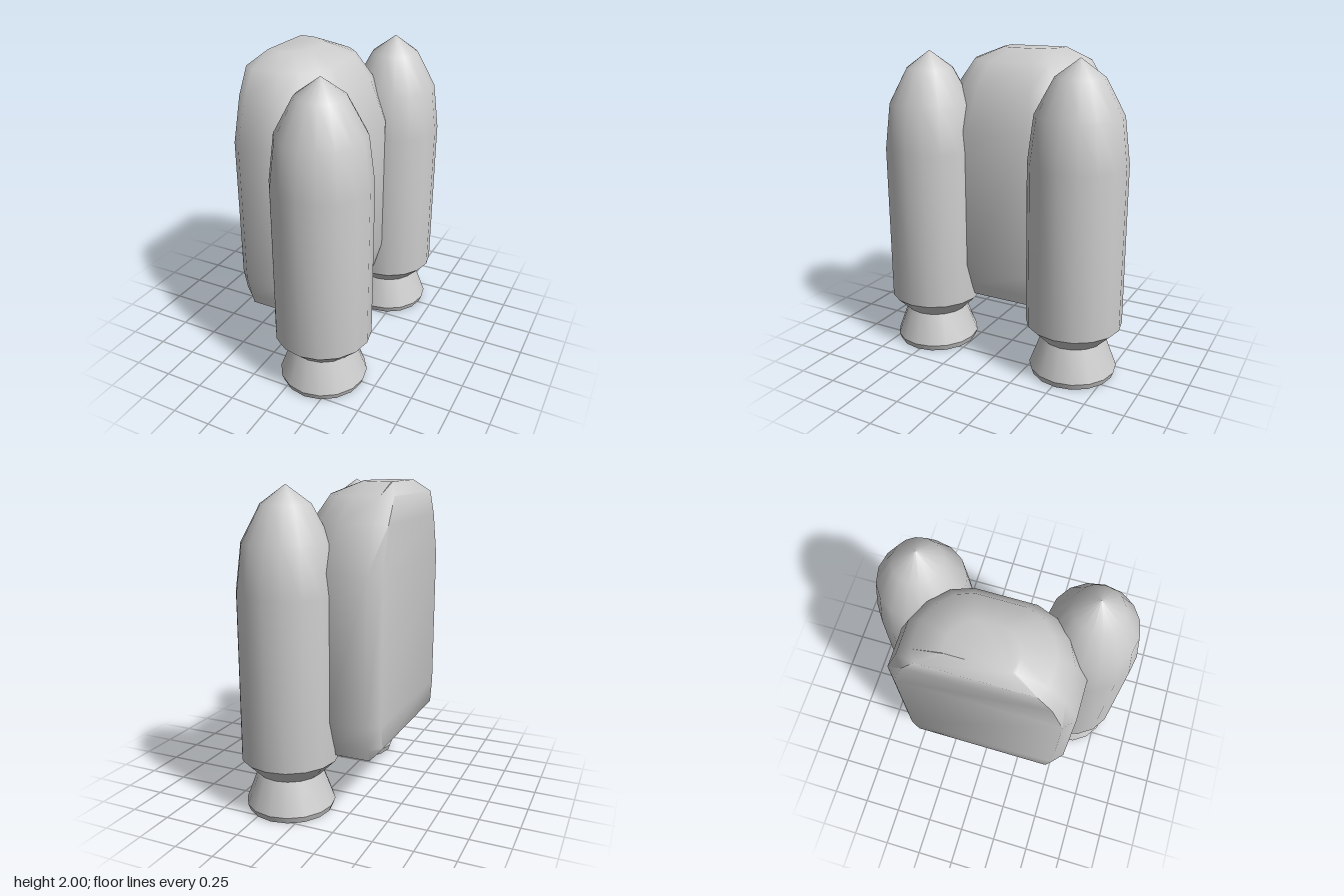
import * as THREE from 'three';
import { toCreasedNormals } from 'three/addons/utils/BufferGeometryUtils.js';

const material = new THREE.MeshStandardMaterial({ color: 0xcccccc });

// Pack body: plan sections stacked upwards, narrowing into a rounded top
function bodyGeometry() {
  const half = [[-0.45, 0.505], [-0.38, 0.57], [-0.13, 0.57], [0.04, 0.49], [0.16, 0.37], [0.215, 0.22]];
  const plan = [...half, ...half.map(([x, z]) => [x, -z]).reverse()];
  // height, inset of the sides and front, inset of the back
  const levels = [
    [0.375, 0.065, 0.07], [0.45, 0.04, 0], [0.6, 0, 0], [1.5, 0, 0],
    [1.77, 0.09, 0], [1.925, 0.19, 0], [2.0, 0.37, 0.07],
  ];
  const n = plan.length, positions = [], index = [];
  for (const [y, inset, back] of levels) {
    for (const [x, z] of plan) {
      const px = x < -0.4 ? x + back : -0.38 + (x + 0.38) * (0.595 - inset) / 0.595;
      positions.push(px, y, z * (0.57 - inset) / 0.57);
    }
  }
  for (let l = 0; l < levels.length - 1; l++) {
    for (let i = 0; i < n; i++) {
      const a = l * n + i, b = l * n + (i + 1) % n;
      index.push(a, b, b + n, a, b + n, a + n);
    }
  }
  // flat bottom and top caps
  const top = (levels.length - 1) * n;
  for (let i = 1; i < n - 1; i++) {
    index.push(0, i + 1, i, top, top + i, top + i + 1);
  }
  const geometry = new THREE.BufferGeometry();
  geometry.setAttribute('position', new THREE.Float32BufferAttribute(positions, 3));
  geometry.setIndex(index);
  return toCreasedNormals(geometry, 0.9);
}

function lathe(points) {
  const profile = points.map(([r, y]) => new THREE.Vector2(r, y));
  return toCreasedNormals(new THREE.LatheGeometry(profile, 16), 0.7);
}

function addMesh(parent, geometry, name) {
  const mesh = new THREE.Mesh(geometry, material);
  mesh.name = name;
  parent.add(mesh);
}

export function createModel() {
  const model = new THREE.Group();
  model.name = 'jetPack';
  addMesh(model, bodyGeometry(), 'packBody');

  // Pointed tank and hollow flared nozzle on each side
  const tank = lathe([[0.205, 0.24], [0.305, 0.34], [0.305, 1.37], [0.268, 1.66], [0.15, 1.88], [0, 1.99]]);
  const nozzle = lathe([[0, 0.22], [0.18, 0.22], [0.265, 0], [0.28, 0.04], [0.205, 0.24]]);
  for (const side of [1, -1]) {
    const booster = new THREE.Group();
    booster.name = side > 0 ? 'frontBooster' : 'backBooster';
    booster.position.set(0.145, 0, side * 0.52);
    addMesh(booster, tank, 'tank');
    addMesh(booster, nozzle, 'nozzle');
    model.add(booster);
  }
  return model;
}
